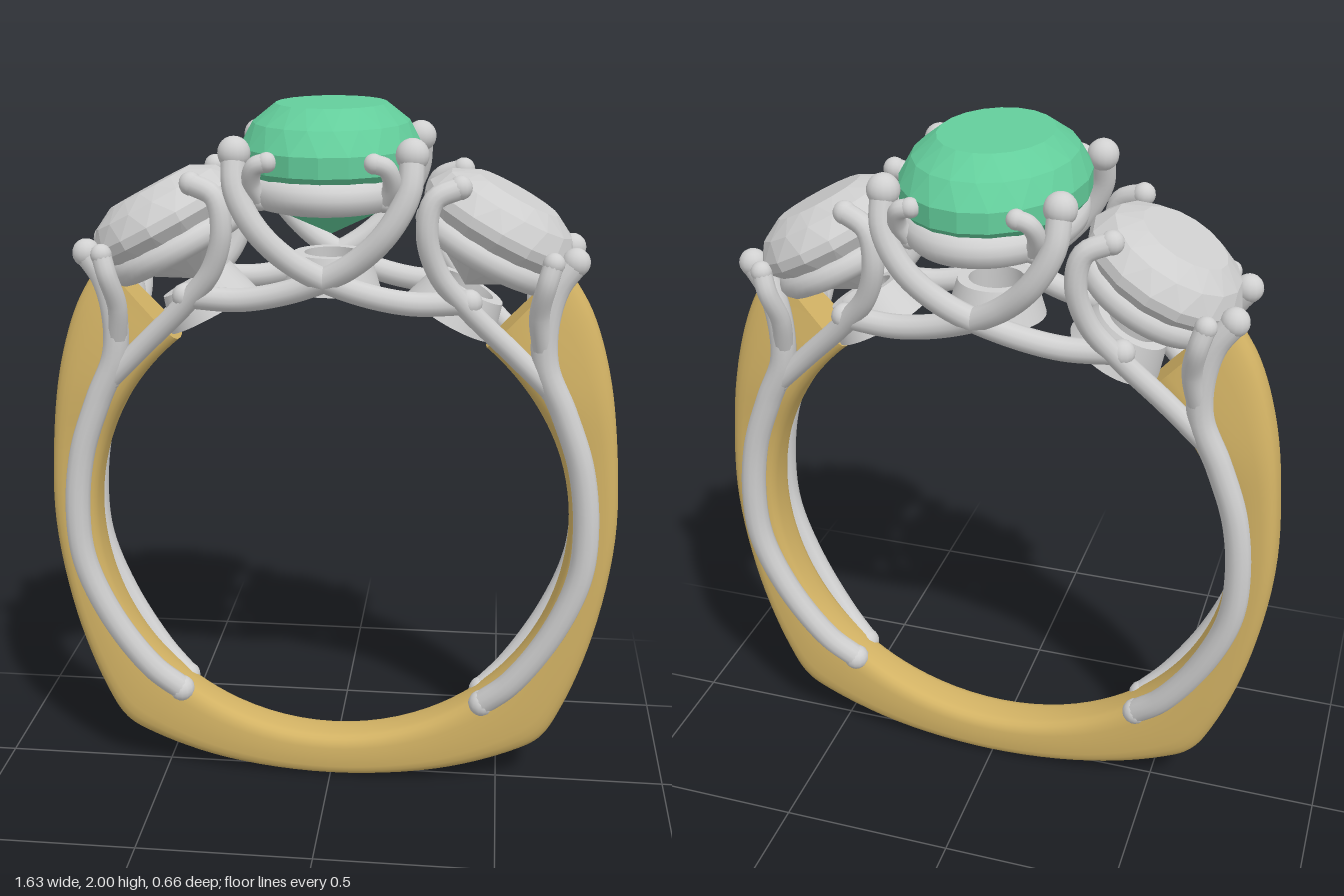
import * as THREE from 'three';
import { toCreasedNormals } from 'three/addons/utils/BufferGeometryUtils.js';
import { ConvexGeometry } from 'three/addons/geometries/ConvexGeometry.js';

const flat = (name, color) => new THREE.MeshStandardMaterial({ name, color });
const V = (p) => new THREE.Vector3(...p);

export function createModel() {
  const gold = flat('yellow gold', 0xd2b264);
  const silver = flat('white metal', 0xd0d0d0);
  const clear = flat('clear stone', 0xcecece);
  const green = flat('green stone', 0x63cd9b);
  const model = new THREE.Group();
  model.name = 'threeStoneRing';

  const add = (parent, name, geometry, material) => {
    const mesh = new THREE.Mesh(geometry, material);
    mesh.name = name;
    parent.add(mesh);
    return mesh;
  };

  // Round wire through points, with ball ends
  const wire = (name, points, r) => {
    const group = new THREE.Group();
    group.name = name;
    const curve = new THREE.CatmullRomCurve3(points.map(V));
    add(group, 'wire', new THREE.TubeGeometry(curve, points.length * 7, r, 12), silver);
    for (const p of [points[0], points[points.length - 1]]) {
      add(group, 'wireEnd', new THREE.SphereGeometry(r * 1.08, 14, 10), silver).position.set(...p);
    }
    model.add(group);
  };

  // Faceted stone: rows of [scale, height, stagger]
  const gem = (rows, sx, sz, n) => {
    const points = [];
    for (const [k, y, shift] of rows) {
      for (let i = 0; i < (k ? n : 1); i++) {
        const a = ((i + shift) / n) * Math.PI * 2;
        points.push(new THREE.Vector3(Math.cos(a) * k * sx, y, Math.sin(a) * k * sz));
      }
    }
    return new ConvexGeometry(points);
  };

  add(model, 'band', bandGeometry(), gold);

  // Centre stone and its oval rail
  add(model, 'centreStone', gem([
    [0.61, 2.0, 0], [0.86, 1.953, 0.5], [1, 1.893, 0], [1, 1.84, 0],
    [0.62, 1.725, 0.5], [0, 1.65, 0],
  ], 0.243, 0.322, 20), green);
  const rail = new THREE.TorusGeometry(1, 0.001, 12, 64);
  rail.dispose();
  const oval = new THREE.CatmullRomCurve3(Array.from({ length: 24 }, (_, i) => {
    const a = (i / 24) * Math.PI * 2;
    return new THREE.Vector3(Math.cos(a) * 0.195, 1.785, Math.sin(a) * 0.285);
  }), true);
  add(model, 'centreRail', new THREE.TubeGeometry(oval, 72, 0.045, 12, true), silver);

  // Open cup under each stone
  const cup = toCreasedNormals(new THREE.LatheGeometry([
    [0.085, 0], [0.135, 0], [0.105, 0.1], [0.075, 0.1], [0.085, 0],
  ].map((p) => new THREE.Vector2(...p)), 40), 0.6);
  add(model, 'centreCup', cup, silver).position.y = 1.5;

  const sideGem = gem([
    [0.56, 0.095, 0], [0.84, 0.062, 0.5], [1, 0.012, 0], [1, -0.015, 0],
    [0.6, -0.11, 0.5], [0, -0.19, 0],
  ], 0.222, 0.23, 16);

  for (const s of [1, -1]) {
    const side = s > 0 ? 'left' : 'right';

    // Tilted side stone with its rail and cup
    const setting = new THREE.Group();
    setting.name = side + 'SideSetting';
    setting.position.set(s * 0.455, 1.685, 0);
    setting.rotation.z = -s * 0.49;
    add(setting, 'sideStone', sideGem, clear);
    const ring = add(setting, 'sideRail', new THREE.TorusGeometry(0.175, 0.038, 12, 48), silver);
    ring.rotation.x = Math.PI / 2;
    ring.position.y = -0.075;
    add(setting, 'sideCup', cup, silver).position.set(s * 0.01, -0.285, 0);
    model.add(setting);

    for (const f of [1, -1]) {
      const place = (points) => points.map(([x, y, z]) => [s * x, y, f * z]);
      const tag = side + (f > 0 ? 'Front' : 'Back');

      // Shoulder wire hugging the band and ending as an outer prong
      wire(tag + 'ShoulderWire', place([
        [0.45, 0.27, 0.045], [0.53, 0.35, 0.07], [0.64, 0.52, 0.092], [0.71, 0.7, 0.103],
        [0.722, 0.85, 0.107], [0.7, 1.03, 0.108], [0.645, 1.19, 0.11], [0.59, 1.32, 0.115],
        [0.585, 1.44, 0.12], [0.61, 1.54, 0.118], [0.655, 1.605, 0.112],
      ]), 0.036);
      wire(tag + 'OuterProng', place([
        [0.58, 1.36, 0.12], [0.565, 1.47, 0.16], [0.58, 1.56, 0.195], [0.595, 1.615, 0.188],
      ]), 0.027);

      // Branch sweeping up to an inner prong
      wire(tag + 'InnerProng', place([
        [0.61, 1.25, 0.11], [0.5, 1.36, 0.125], [0.38, 1.48, 0.155], [0.3, 1.58, 0.185],
        [0.268, 1.69, 0.205], [0.285, 1.775, 0.2], [0.35, 1.805, 0.18],
      ]), 0.029);

      // Centre prong crossing over to the far side
      wire(tag + 'CentreProng', place([
        [0.228, 1.895, 0.215], [0.222, 1.8, 0.245], [0.17, 1.7, 0.25], [0.08, 1.61, 0.225],
        [-0.05, 1.54, 0.19], [-0.22, 1.497, 0.165], [-0.38, 1.5, 0.15],
      ]), 0.033);
      add(model, tag + 'ProngTip', new THREE.SphereGeometry(0.043, 16, 12), silver)
        .position.set(s * 0.228, 1.89, f * 0.215);

      // Small claw rising from the oval rail
      wire(tag + 'Claw', place([
        [0.16, 1.77, 0.22], [0.18, 1.82, 0.25], [0.165, 1.865, 0.275], [0.135, 1.875, 0.277],
      ]), 0.024);
    }
  }
  return model;
}

// Band lofted between a round inside and a squarish outside
function bandGeometry() {
  // angle from the bottom, outer x, outer y, half width, outer taper
  const half = [
    [0, 0, 0.004, 0.07, 0], [25, 0.32, 0.035, 0.07, 0], [43, 0.54, 0.105, 0.07, 0],
    [51, 0.625, 0.155, 0.07, 0], [60, 0.685, 0.26, 0.07, 0], [75, 0.765, 0.5, 0.07, 0],
    [90, 0.812, 0.8, 0.07, 0], [108, 0.802, 1.07, 0.073, 0.05], [122, 0.77, 1.28, 0.092, 0.3],
    [133, 0.715, 1.45, 0.09, 0.4], [141, 0.64, 1.575, 0.075, 0.4],
  ];
  const stations = [
    ...half.slice(1).reverse().map(([t, x, ...rest]) => [-t, -x, ...rest]), ...half,
  ];
  const outer = new THREE.CatmullRomCurve3(stations.map((p) => new THREE.Vector3(p[1], p[2], 0)));
  const shape = new THREE.CatmullRomCurve3(stations.map((p) => new THREE.Vector3(p[0], p[3], p[4])));
  const steps = 120, n = 24;
  const positions = [], index = [];
  const power = (v) => Math.sign(v) * Math.abs(v) ** 0.6;

  const section = (t) => {
    const o = outer.getPoint(t), { x: deg, y: width, z: taper } = shape.getPoint(t);
    const a = THREE.MathUtils.degToRad(deg);
    const inner = new THREE.Vector3(Math.sin(a) * 0.68, 0.82 - Math.cos(a) * 0.68, 0);
    for (let j = 0; j < n; j++) {
      const b = (j / n) * Math.PI * 2;
      const u = 0.5 + 0.5 * power(Math.cos(b));
      const p = inner.clone().lerp(o, u);
      positions.push(p.x, p.y, power(Math.sin(b)) * width * (1 - taper * u));
    }
    return inner.lerp(o, 0.5);
  };

  for (let i = 0; i <= steps; i++) section(i / steps);
  for (let i = 0; i < steps; i++) {
    for (let j = 0; j < n; j++) {
      const a = i * n + j, b = i * n + (j + 1) % n;
      index.push(a, a + n, b, b, a + n, b + n);
    }
  }
  // End caps
  for (const t of [0, 1]) {
    const start = positions.length / 3;
    const c = section(t);
    positions.push(c.x, c.y, 0);
    for (let j = 0; j < n; j++) {
      const a = start + j, b = start + (j + 1) % n;
      index.push(start + n, t ? b : a, t ? a : b);
    }
  }
  const geometry = new THREE.BufferGeometry();
  geometry.setAttribute('position', new THREE.Float32BufferAttribute(positions, 3));
  geometry.setIndex(index);
  geometry.computeVertexNormals();
  return geometry;
}
